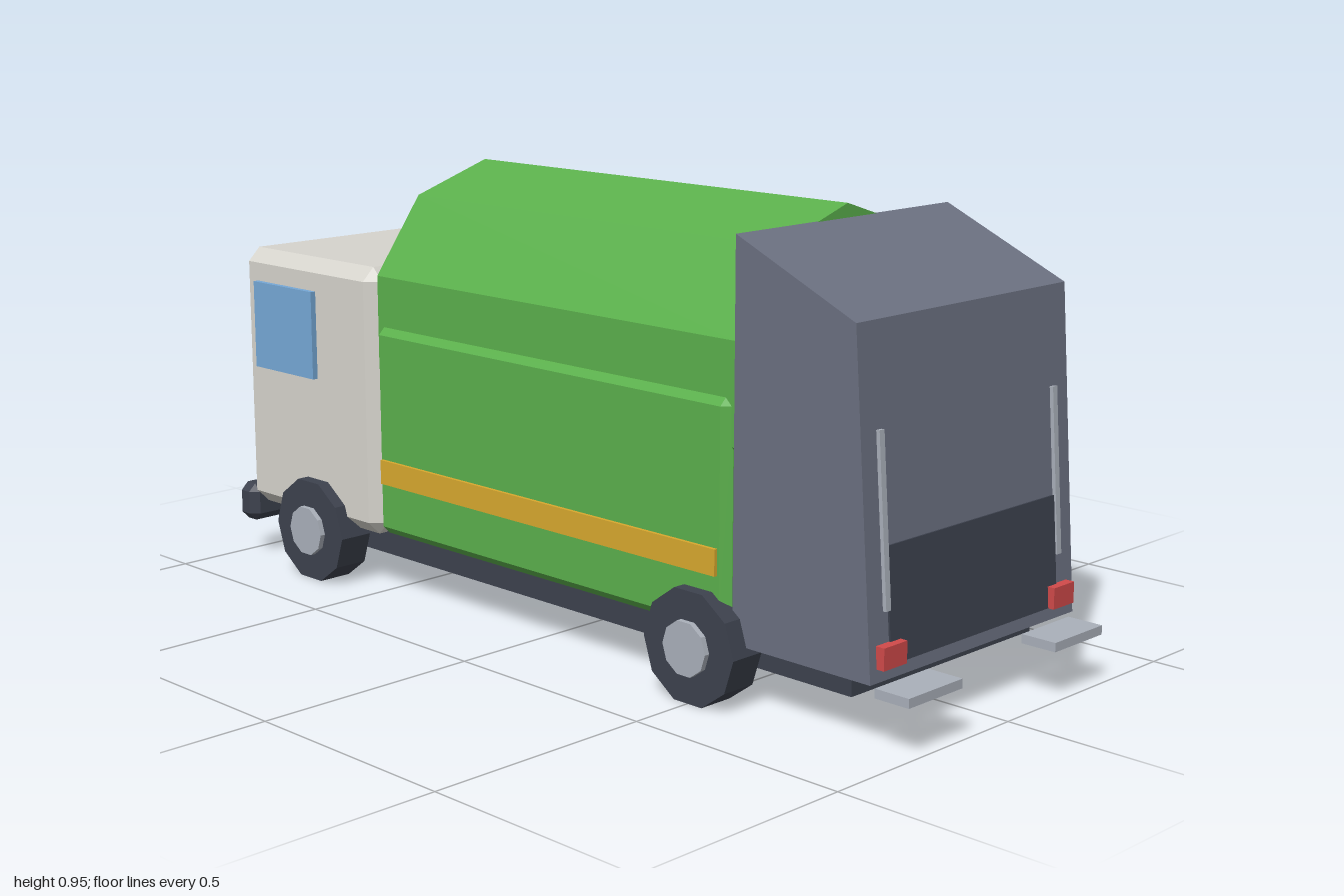
import * as THREE from 'three';
import { ConvexGeometry } from 'three/addons/geometries/ConvexGeometry.js';

const mat = (name, color) => {
  const m = new THREE.MeshStandardMaterial({ color });
  m.name = name;
  return m;
};

export function createModel() {
  const green = mat('green', 0x5bb04c);
  const white = mat('offWhite', 0xd6d4cd);
  const slate = mat('slate', 0x6b7080);
  const dark = mat('darkGrey', 0x3d424e);
  const metal = mat('metal', 0xaab0ba);
  const glass = mat('glass', 0x76a8d6);
  const amber = mat('amber', 0xd8a82e);
  const red = mat('red', 0xd04a4a);

  const truck = new THREE.Group();
  truck.name = 'refuseTruck';

  const add = (name, geometry, material, parent = truck) => {
    // separate vertices keep every facet flat
    const geo = geometry.index ? geometry.toNonIndexed() : geometry;
    geo.computeVertexNormals();
    const mesh = new THREE.Mesh(geo, material);
    mesh.name = name;
    parent.add(mesh);
    return mesh;
  };

  // box given by its min and max on each axis
  const box = (name, [x0, x1], [y0, y1], [z0, z1], material, parent) => {
    const g = new THREE.BoxGeometry(x1 - x0, y1 - y0, z1 - z0);
    g.translate((x0 + x1) / 2, (y0 + y1) / 2, (z0 + z1) / 2);
    return add(name, g, material, parent);
  };

  // box with all edges cut at 45 degrees by b
  const chamferBox = (name, [x0, x1], [y0, y1], [z0, z1], b, material) => {
    const h = [(x1 - x0) / 2, (y1 - y0) / 2, (z1 - z0) / 2];
    const pts = [];
    for (const sx of [-1, 1]) for (const sy of [-1, 1]) for (const sz of [-1, 1])
      for (let a = 0; a < 3; a++) {
        const e = h.map((v, i) => (i === a ? v : v - b));
        pts.push(new THREE.Vector3(sx * e[0], sy * e[1], sz * e[2]));
      }
    const g = new ConvexGeometry(pts);
    g.translate((x0 + x1) / 2, (y0 + y1) / 2, (z0 + z1) / 2);
    return add(name, g, material);
  };

  // range mirrored to the given side
  const side = (s, a, b) => (s > 0 ? [a, b] : [-b, -a]);

  // chassis and front bumper
  box('chassis', [-0.28, 0.28], [0.08, 0.142], [-0.91, 0.845], dark);
  chamferBox('bumper', [-0.345, 0.345], [0.083, 0.172], [-1, -0.935], 0.018, dark);

  // cab with its front fittings
  chamferBox('cab', [-0.332, 0.332], [0.13, 0.737], [-0.968, -0.487], 0.03, white);
  box('windshield', [-0.285, 0.285], [0.452, 0.677], [-0.982, -0.96], glass);
  box('grille', [-0.16, 0.16], [0.2, 0.275], [-0.976, -0.96], slate);
  const beacon = new THREE.CylinderGeometry(0.032, 0.032, 0.055, 6);
  beacon.translate(0, 0.757, -0.597);
  add('beacon', beacon, amber);

  // ten-sided barrel roof over a chamfered lower body
  const barrel = new THREE.CylinderGeometry(0.333, 0.333, 1.065, 10);
  barrel.rotateX(Math.PI / 2);
  barrel.translate(0, 0.62, 0.0475);
  add('bodyBarrel', barrel, green);
  chamferBox('bodySides', [-0.332, 0.332], [0.145, 0.614], [-0.483, 0.573], 0.018, green);

  // rear hopper from its side profile
  const profile = new THREE.Shape(
    [[0.578, 0.13], [0.92, 0.13], [0.87, 0.795], [0.578, 0.925]]
      .map(([z, y]) => new THREE.Vector2(-z, y)).reverse()
  );
  const hopper = new THREE.ExtrudeGeometry(profile, { depth: 0.636, bevelEnabled: false });
  hopper.rotateY(Math.PI / 2);
  hopper.translate(-0.318, 0, 0);
  add('hopper', hopper, slate);

  // fittings lying on the sloped tailgate, origin at its bottom edge
  const tailgate = new THREE.Group();
  tailgate.name = 'tailgateFittings';
  tailgate.position.set(0, 0.13, 0.92);
  tailgate.rotation.x = -Math.atan2(0.05, 0.665);
  truck.add(tailgate);
  box('loadingPanel', [-0.26, 0.26], [0.026, 0.25], [-0.005, 0.004], dark, tailgate);

  for (const s of [-1, 1]) {
    const label = s > 0 ? 'left' : 'right';
    box(label + 'SideWindow', side(s, 0.325, 0.345), [0.465, 0.665], [-0.905, -0.69], glass);
    box(label + 'Headlight', side(s, 0.215, 0.298), [0.222, 0.272], [-0.984, -0.96], amber);
    box(label + 'Stripe', side(s, 0.325, 0.34), [0.263, 0.317], [-0.46, 0.55], amber);
    box(label + 'TailLight', side(s, 0.231, 0.298), [0.156, 0.2], [0.905, 0.935], red);
    box(label + 'RearStep', side(s, 0.147, 0.305), [0.103, 0.122], [0.92, 1], metal);
    box(label + 'GrabRail', side(s, 0.26, 0.274), [0.13, 0.467], [-0.006, 0.008], metal, tailgate);

    // wheels and hubs
    for (const [end, z] of [['Front', -0.7], ['Rear', 0.5]]) {
      const wheel = new THREE.Group();
      wheel.name = label + end + 'Wheel';
      wheel.position.set(s * 0.32, 0.114, z);
      truck.add(wheel);
      const tyre = new THREE.CylinderGeometry(0.12, 0.12, 0.08, 10);
      tyre.rotateZ(Math.PI / 2);
      add('tyre', tyre, dark, wheel);
      const hub = new THREE.CylinderGeometry(0.057, 0.057, 0.06, 10);
      hub.rotateZ(Math.PI / 2);
      hub.translate(s * 0.022, 0, 0);
      add('hub', hub, metal, wheel);
    }
  }

  return truck;
}
